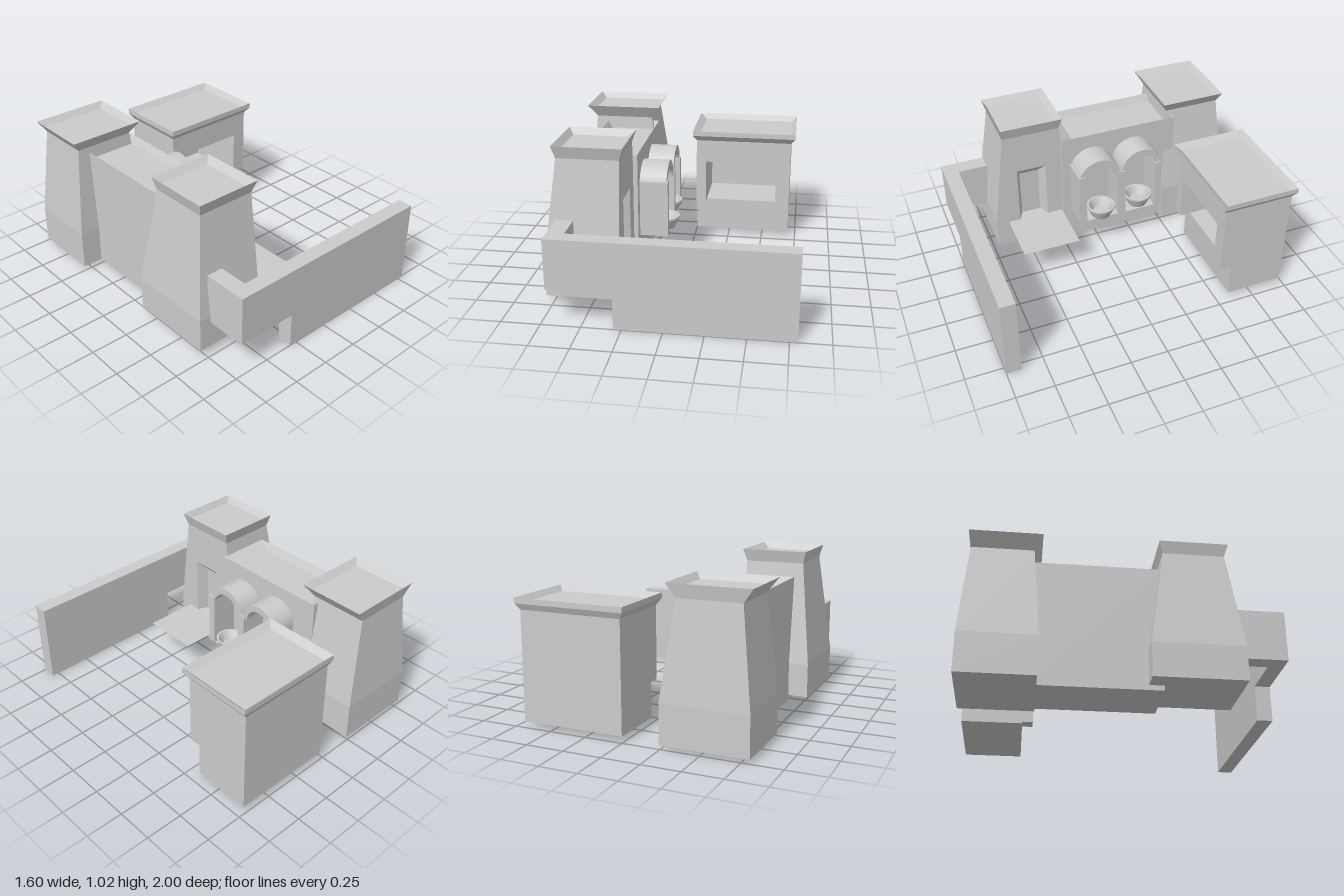
import * as THREE from 'three';

const mat = new THREE.MeshStandardMaterial({ color: 0xcccccc, flatShading: true });
const smooth = new THREE.MeshStandardMaterial({ color: 0xcccccc, side: THREE.DoubleSide });

// Horizontal rectangular cross-section, counter-clockwise from above
const rect = (y, x0, x1, z0, z1) => [[x0, y, z1], [x1, y, z1], [x1, y, z0], [x0, y, z0]];

// Skin between four-cornered loops; the last loop is capped, the first if asked.
// skip(row, side) leaves a face open.
function loft(loops, { bottom = true, skip = () => false } = {}) {
  const pos = [];
  const quad = (a, b, c, d) => pos.push(...a, ...b, ...c, ...a, ...c, ...d);
  for (let r = 0; r < loops.length - 1; r++) {
    for (let s = 0; s < 4; s++) {
      if (skip(r, s)) continue;
      const t = (s + 1) % 4;
      quad(loops[r][s], loops[r][t], loops[r + 1][t], loops[r + 1][s]);
    }
  }
  quad(...loops[loops.length - 1]);
  if (bottom) quad(...[...loops[0]].reverse());
  const geo = new THREE.BufferGeometry();
  geo.setAttribute('position', new THREE.Float32BufferAttribute(pos, 3));
  geo.computeVertexNormals();
  return geo;
}

function box(x0, x1, y0, y1, z0, z1) {
  return new THREE.BoxGeometry(x1 - x0, y1 - y0, z1 - z0)
    .translate((x0 + x1) / 2, (y0 + y1) / 2, (z0 + z1) / 2);
}

function polygon(points) {
  return new THREE.Shape(points.map(([x, y]) => new THREE.Vector2(x, y)));
}

export function createModel() {
  const model = new THREE.Group();
  const add = (name, geo, parent = model, material = mat) => {
    const mesh = new THREE.Mesh(geo, material);
    mesh.name = name;
    parent.add(mesh);
    return mesh;
  };
  const group = (name) => {
    const g = new THREE.Group();
    g.name = name;
    model.add(g);
    return g;
  };

  // Front wall: raised at one end, with a short return
  const frontWall = group('frontWall');
  const outline = polygon([[-0.3, 0], [0.8, 0], [0.8, 0.565], [-0.71, 0.565], [-0.71, 0.235], [-0.3, 0.235]]);
  add('longWall', new THREE.ExtrudeGeometry(outline, { depth: 0.1, bevelEnabled: false }).translate(0, 0, 0.9), frontWall);
  add('returnWall', box(-0.71, -0.6, 0.235, 0.565, 0.7, 0.9), frontWall);

  // Front tower: battered sides, flared cornice, sunken roof, open face for the doorway
  const frontTower = group('frontTower');
  add('frontTowerBody', loft([
    rect(0.055, -0.79, -0.315, 0.15, 0.725),
    rect(0.28, -0.79, -0.315, 0.15, 0.725),
    rect(0.945, -0.71, -0.315, 0.245, 0.64),
    rect(1.025, -0.73, -0.29, 0.225, 0.665),
    rect(0.985, -0.695, -0.335, 0.265, 0.635),
  ], { skip: (row, side) => row < 2 && side === 1 }), frontTower);

  // Doorway face and its splayed recess (shape x runs along -z)
  const face = polygon([[-0.725, 0.055], [-0.15, 0.055], [-0.15, 0.28], [-0.245, 0.945], [-0.64, 0.945], [-0.725, 0.28]]);
  face.holes.push(polygon([[-0.555, 0.245], [-0.555, 0.665], [-0.35, 0.665], [-0.35, 0.245]]));
  add('doorwayFace', new THREE.ShapeGeometry(face).rotateY(Math.PI / 2).translate(-0.315, 0, 0), frontTower);
  const upright = (x, z0, z1, y0, y1) => [[x, y0, z1], [x, y0, z0], [x, y1, z0], [x, y1, z1]];
  add('doorwayRecess', loft([
    upright(-0.315, 0.35, 0.555, 0.245, 0.665),
    upright(-0.39, 0.385, 0.52, 0.25, 0.59),
  ], { bottom: false }), frontTower);

  // Thin landing in front of the doorway
  const landing = new THREE.PlaneGeometry(0.375, 0.395).rotateX(-Math.PI / 2).translate(-0.1275, 0.25, 0.4425);
  add('landing', landing, model, smooth);

  // Connecting wall with a sunken top
  add('connectingWall', loft([
    rect(0.022, -0.66, -0.285, -0.6, 0.245),
    rect(0.855, -0.655, -0.285, -0.6, 0.235),
    rect(0.805, -0.625, -0.315, -0.58, 0.14),
  ]));

  // Rear tower
  add('rearTower', loft([
    rect(0.022, -0.8, -0.24, -0.995, -0.515),
    rect(0.28, -0.8, -0.24, -0.995, -0.515),
    rect(0.89, -0.735, -0.33, -0.95, -0.56),
    rect(0.975, -0.795, -0.27, -0.965, -0.51),
    rect(0.935, -0.755, -0.305, -0.93, -0.55),
  ]));

  // Two arched alcoves on the connecting wall, each with a basin
  const alcoves = group('alcoves');
  const arches = [
    { z: 0.025, y: 0.6, r: 0.155, bowl: [-0.14, 0.27, 0.01] },
    { z: -0.285, y: 0.615, r: 0.15, bowl: [-0.165, 0.278, -0.28] },
  ];
  for (const { z, y, r, bowl } of arches) {
    const ring = new THREE.Shape();
    ring.absarc(0, 0, r, 0, Math.PI, false);
    ring.absarc(0, 0, r - 0.045, Math.PI, 0, true);
    const vault = new THREE.ExtrudeGeometry(ring, { depth: 0.185, bevelEnabled: false, curveSegments: 12 });
    add('archVault', vault.rotateY(Math.PI / 2).translate(-0.29, y, z), alcoves);
    const basin = new THREE.LatheGeometry([
      [0, 0], [0.065, 0], [0.1, 0.075], [0.1, 0.087], [0.085, 0.087], [0.055, 0.03], [0, 0.03],
    ].map(([a, b]) => new THREE.Vector2(a, b)), 24);
    add('basin', basin.toNonIndexed().translate(...bowl), alcoves, mat);
  }
  for (const [z0, z1, y0, y1] of [[0.13, 0.182, 0.27, 0.65], [-0.16, -0.105, 0.275, 0.63], [-0.432, -0.38, 0.275, 0.64]]) {
    add('archPier', box(-0.29, -0.095, y0, y1, z0, z1), alcoves);
  }
  const ledge = new THREE.PlaneGeometry(0.185, 0.614).rotateX(-Math.PI / 2).translate(-0.19, 0.272, -0.125);
  add('alcoveFloor', ledge, alcoves, smooth);

  // Pavilion: recessed base, hollow body open at the front, shallow dished roof
  const pavilion = group('pavilion');
  add('pavilionBase', box(0.01, 0.695, 0.033, 0.265, -0.98, -0.587), pavilion);
  const portal = polygon([
    [0.01, 0.265], [0.08, 0.265], [0.08, 0.583], [0.595, 0.583],
    [0.595, 0.265], [0.695, 0.265], [0.695, 0.75], [0.01, 0.75],
  ]);
  add('pavilionBody', new THREE.ExtrudeGeometry(portal, { depth: 0.43, bevelEnabled: false }).translate(0, 0, -0.94), pavilion);
  add('pavilionBackWall', box(0.01, 0.695, 0.265, 0.75, -0.98, -0.94), pavilion);
  add('pavilionRoof', loft([
    rect(0.745, 0.01, 0.695, -0.98, -0.51),
    rect(0.785, -0.015, 0.725, -1, -0.478),
    rect(0.82, -0.015, 0.725, -1, -0.478),
    rect(0.785, 0.03, 0.69, -0.965, -0.52),
  ]), pavilion);

  return model;
}
